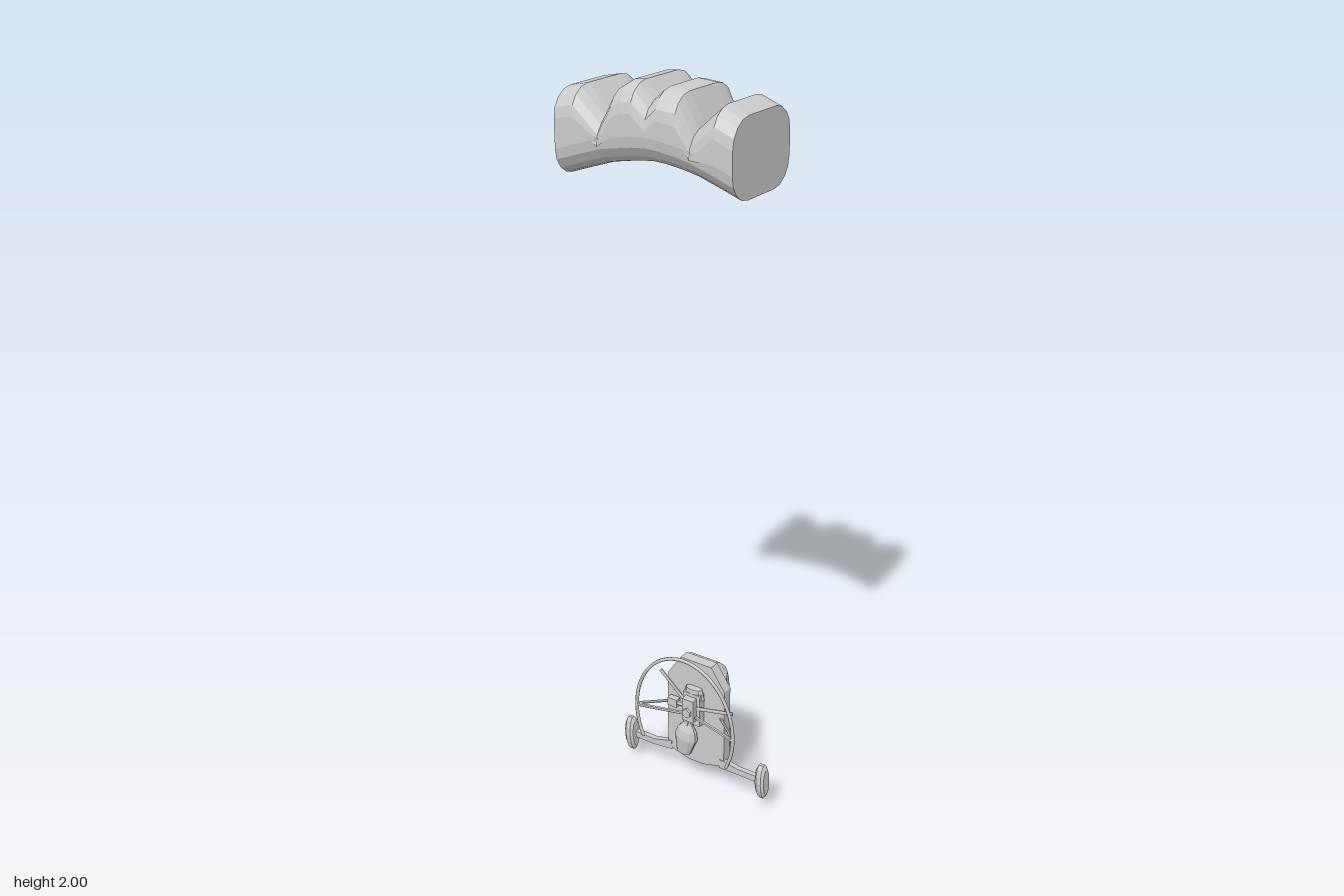
import * as THREE from 'three';

const V = (x, y, z) => new THREE.Vector3(x, y, z);
const grey = new THREE.MeshStandardMaterial({ color: 0xcccccc, flatShading: true });
const smooth = new THREE.MeshStandardMaterial({ color: 0xcccccc });

function add(parent, name, geometry, pos = [0, 0, 0], material = grey) {
  const m = new THREE.Mesh(geometry, material);
  m.name = name;
  m.position.set(...pos);
  parent.add(m);
  return m;
}

// Skin a list of equal-length rings, and close both ends
function loft(rings) {
  const n = rings[0].length, out = [];
  const tri = (...ps) => ps.forEach(p => out.push(p.x, p.y, p.z));
  for (let r = 0; r < rings.length - 1; r++) {
    const a = rings[r], b = rings[r + 1];
    for (let i = 0; i < n; i++) {
      const j = (i + 1) % n;
      tri(a[i], a[j], b[j]);
      tri(a[i], b[j], b[i]);
    }
  }
  const first = rings[0], last = rings[rings.length - 1];
  const mid = ring => ring.reduce((s, p) => s.add(p), V(0, 0, 0)).divideScalar(n);
  for (let i = 0; i < n; i++) {
    const j = (i + 1) % n;
    tri(mid(first), first[j], first[i]);
    tri(mid(last), last[i], last[j]);
  }
  const g = new THREE.BufferGeometry();
  g.setAttribute('position', new THREE.Float32BufferAttribute(out, 3));
  g.computeVertexNormals();
  return g;
}

// Straight rod between two points
function rod(parent, name, from, to, r) {
  const a = V(...from), b = V(...to), d = b.clone().sub(a);
  const m = add(parent, name, new THREE.CylinderGeometry(r, r, d.length(), 6));
  m.position.copy(a).add(b).multiplyScalar(0.5);
  m.quaternion.setFromUnitVectors(V(0, 1, 0), d.normalize());
  return m;
}

// Tall oval wheel with bevelled edges, axle along x
function wheel(parent, name, width, rz, ry, pos) {
  const h = width / 2;
  const profile = [[0, -h], [0.75, -h], [1, -h * 0.5], [1, h * 0.5], [0.75, h], [0, h]];
  const g = new THREE.LatheGeometry(profile.map(p => new THREE.Vector2(...p)), 14);
  g.rotateZ(Math.PI / 2);
  g.scale(1, ry, rz);
  return add(parent, name, g, pos);
}

// Rounded-rectangle rib of the canopy, in a plane of constant x
function canopyRing([x, bottom, top, back, front]) {
  const r = 0.065, ring = [];
  const corners = [[top - r, front - r], [bottom + r, front - r], [bottom + r, back + r], [top - r, back + r]];
  corners.forEach(([y, z], c) => {
    for (let i = 0; i <= 4; i++) {
      const t = (c + i / 4) * Math.PI / 2;
      ring.push(V(x, y + r * Math.cos(t), z + r * Math.sin(t)));
    }
  });
  return ring;
}

export function createModel() {
  const model = new THREE.Group();

  // Canopy: four puffed cells on an arch
  const ribs = [ // x, bottom, top, back, front
    [-0.235, 1.765, 1.965, -0.058, 0.2], [-0.185, 1.782, 1.975, -0.058, 0.2],
    [-0.12, 1.803, 1.915, -0.054, 0.197], [-0.08, 1.811, 1.982, -0.057, 0.2],
    [-0.055, 1.815, 1.997, -0.057, 0.2], [-0.025, 1.82, 2.0, -0.056, 0.2],
    [0.01, 1.822, 1.965, -0.049, 0.197], [0.035, 1.819, 1.99, -0.047, 0.192],
    [0.085, 1.812, 1.985, -0.049, 0.192], [0.122, 1.803, 1.915, -0.046, 0.19],
    [0.185, 1.783, 1.97, -0.05, 0.192], [0.235, 1.765, 1.95, -0.052, 0.192],
  ];
  add(model, 'canopy', loft(ribs.map(canopyRing)));

  // Cockpit pod: wide flat plate narrowing to a low nose
  const sections = [ // z, half width, bottom, shoulder, top half width, top
    [-0.188, 0.016, 0.115, 0.14, 0.014, 0.15], [-0.175, 0.024, 0.105, 0.19, 0.02, 0.2],
    [-0.15, 0.037, 0.095, 0.27, 0.033, 0.28], [-0.13, 0.046, 0.085, 0.32, 0.042, 0.33],
    [-0.1, 0.06, 0.08, 0.36, 0.053, 0.375], [-0.08, 0.071, 0.08, 0.36, 0.047, 0.396],
    [-0.06, 0.08, 0.085, 0.35, 0.043, 0.405],
  ];
  const podRing = ([z, w, b, s, wt, t]) => [
    V(w, b, z), V(w, s, z), V(wt, t, z), V(-wt, t, z), V(-w, s, z), V(-w, b, z)];
  add(model, 'pod', loft(sections.map(podRing)));

  // Back plate with a tapered keel
  const plate = new THREE.Shape([
    [0.05, 0.405], [-0.05, 0.405], [-0.093, 0.34], [-0.093, 0.11], [-0.08, 0.09],
    [-0.025, 0.075], [0.025, 0.075], [0.08, 0.09], [0.093, 0.11], [0.093, 0.34],
  ].map(p => new THREE.Vector2(...p)));
  add(model, 'backPlate', new THREE.ExtrudeGeometry(plate, { depth: 0.03, bevelEnabled: false }), [0, 0, -0.062]);

  // Nose wheel with its fork
  wheel(model, 'noseWheel', 0.026, 0.017, 0.053, [0, 0.053, -0.183]);
  for (const s of [-1, 1]) {
    add(model, 'noseFork', new THREE.BoxGeometry(0.006, 0.075, 0.012), [s * 0.018, 0.085, -0.178]);
  }
  rod(model, 'noseAxle', [-0.025, 0.053, -0.178], [0.025, 0.053, -0.178], 0.005);

  // Main wheels on side arms, and struts that hold the guard
  for (const s of [-1, 1]) {
    const y = s > 0 ? 0.096 : 0.088;
    const arm = [[0.08, 0.1, 0.014], [0.14, y, 0.009], [0.215, y, 0.01]].map(([x, cy, h]) => {
      const ring = [V(s * x, cy + h, -0.045), V(s * x, cy + h, -0.03),
        V(s * x, cy - h, -0.03), V(s * x, cy - h, -0.045)];
      return ring;
    });
    if (s < 0) arm.reverse();
    add(model, 'wheelArm', loft(arm));
    const w = wheel(model, 'mainWheel', 0.028, 0.021, 0.055, [s * 0.218, y + 0.002, -0.031]);
    w.rotation.z = s > 0 ? 0.03 : 0.06;
    rod(model, 'guardStrut', [s * 0.02, 0.25, 0.0], [s * 0.155 + 0.005, 0.25, 0.035], 0.005);
    rod(model, 'guardBrace', [s * 0.08, 0.25, -0.035], [s * 0.155 + 0.005, 0.255, 0.035], 0.004);
  }

  // Open oval propeller guard
  const guardPoints = [];
  for (let i = 0; i <= 32; i++) {
    const t = -Math.PI / 6 + (i / 32) * Math.PI * 4 / 3;
    guardPoints.push(V(0.005 + 0.157 * Math.cos(t), 0.25 + 0.197 * Math.sin(t), 0.035));
  }
  add(model, 'propellerGuard', new THREE.TubeGeometry(
    new THREE.CatmullRomCurve3(guardPoints), 48, 0.005, 6), [0, 0, 0], smooth);

  // Engine block, housing frame and hub
  add(model, 'engine', new THREE.BoxGeometry(0.055, 0.1, 0.025), [0, 0.265, -0.022]);
  add(model, 'engineTop', new THREE.CylinderGeometry(0.026, 0.034, 0.03, 8), [0, 0.312, -0.024]).scale.z = 0.5;
  add(model, 'engineHead', new THREE.BoxGeometry(0.035, 0.07, 0.02), [0, 0.27, 0]);
  add(model, 'carburettor', new THREE.BoxGeometry(0.03, 0.025, 0.018), [-0.062, 0.265, -0.015]);
  rod(model, 'intake', [-0.06, 0.265, -0.015], [-0.02, 0.265, -0.015], 0.007);
  rod(model, 'hub', [0, 0.265, -0.02], [0, 0.265, 0.018], 0.014);

  // Three thin propeller blades
  for (const [x, y] of [[-0.105, 0.355], [0.13, 0.295], [-0.03, 0.16]]) {
    const blade = rod(model, 'propellerBlade', [0, 0.27, -0.008], [x, y, -0.014], 0.006);
    blade.scale.z = 0.5;
  }

  // Exhaust pipe and muffler
  const muffler = [[0, -0.06], [0.022, -0.06], [0.028, -0.035], [0.036, -0.005], [0.03, 0.02], [0.016, 0.04], [0.014, 0.07], [0, 0.07]];
  const m = add(model, 'muffler', new THREE.LatheGeometry(
    muffler.map(p => new THREE.Vector2(...p)), 10), [-0.022, 0.165, -0.018]);
  m.scale.z = 0.6;
  m.rotation.z = -0.15;

  return model;
}
